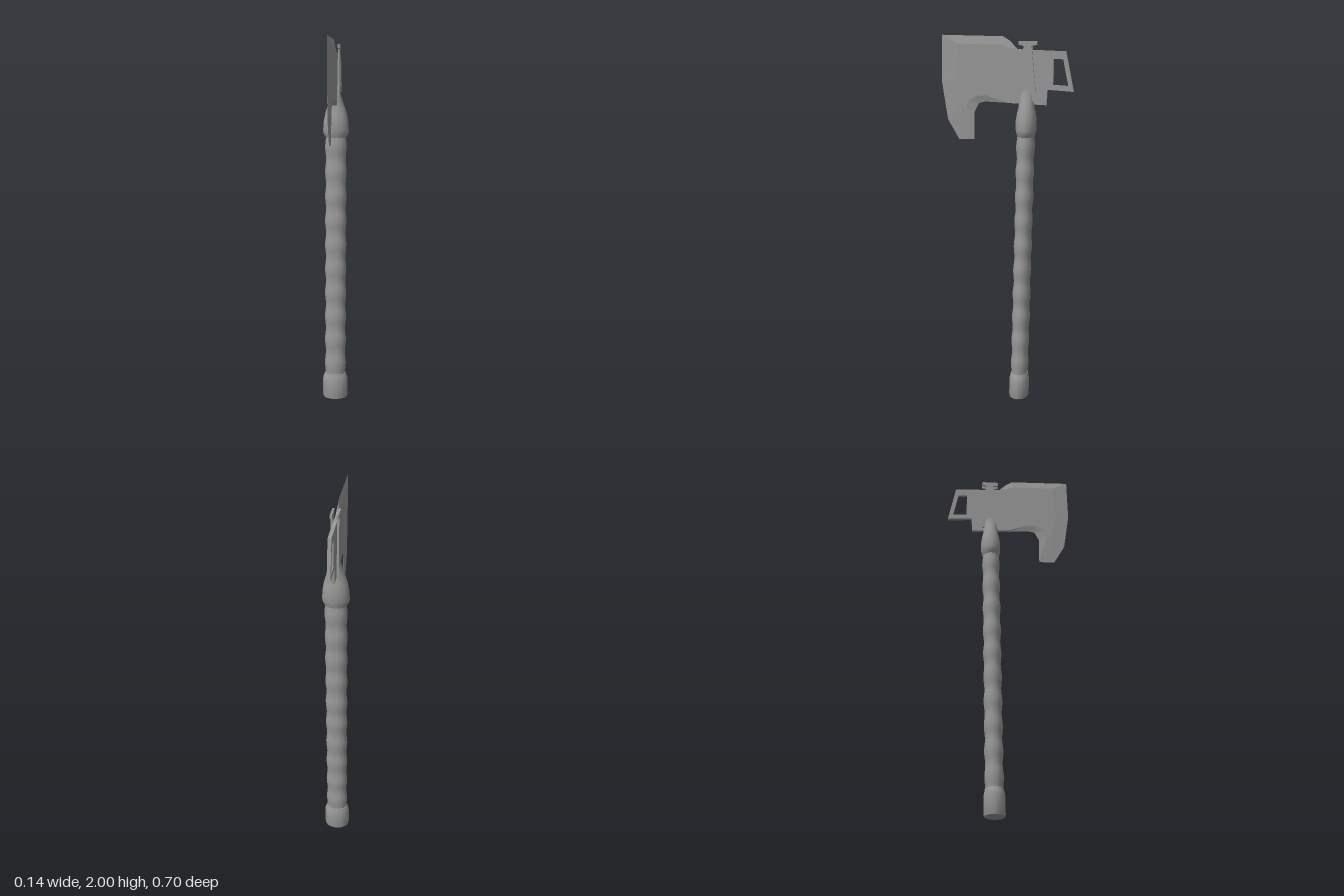
import * as THREE from 'three';
import { toCreasedNormals } from 'three/addons/utils/BufferGeometryUtils.js';

const steel = new THREE.MeshStandardMaterial({ color: 0x989898 });
const SIDES = 18;
const HALF = 0.009; // half thickness of the blade

// The haft leans slightly backward as it rises
const axisZ = (y) => -0.064 - 0.022 * y;

// Closed body through elliptical rings [y, radiusX, radiusZ]
function loft(rings) {
  const pos = [], idx = [], n = rings.length;
  for (const [y, rx, rz] of rings) {
    for (let j = 0; j < SIDES; j++) {
      const a = (j / SIDES) * Math.PI * 2;
      pos.push(rx * Math.cos(a), y, axisZ(y) + rz * Math.sin(a));
    }
  }
  for (const [y] of [rings[0], rings[n - 1]]) pos.push(0, y, axisZ(y));
  const bottom = n * SIDES, top = bottom + 1, last = (n - 1) * SIDES;
  for (let j = 0; j < SIDES; j++) {
    const j1 = (j + 1) % SIDES;
    for (let k = 0; k < n - 1; k++) {
      const a = k * SIDES + j, b = k * SIDES + j1;
      idx.push(a, a + SIDES, b + SIDES, a, b + SIDES, b);
    }
    idx.push(bottom, j, j1, top, last + j1, last + j);
  }
  const g = new THREE.BufferGeometry();
  g.setAttribute('position', new THREE.Float32BufferAttribute(pos, 3));
  g.setIndex(idx);
  return toCreasedNormals(g, 0.85);
}

// Plate cut from a [z, y] outline, spanning x from x0 to x1
function plate(outline, x0, x1, hole) {
  const shape = new THREE.Shape(outline.map(([z, y]) => new THREE.Vector2(z, y)));
  if (hole) shape.holes.push(new THREE.Path(hole.map(([z, y]) => new THREE.Vector2(z, y))));
  const g = new THREE.ExtrudeGeometry(shape, { depth: x1 - x0, bevelEnabled: false });
  return g.rotateY(-Math.PI / 2).translate(x1, 0, 0);
}

// Ground faces from the full-thickness inner line out to the sharp rim
function wedge(inner, rim) {
  const pos = [];
  const at = (x, [z, y]) => [x, y, z];
  for (const s of [1, -1]) {
    for (let i = 0; i < inner.length - 1; i++) {
      const i0 = at(s * HALF, inner[i]), i1 = at(s * HALF, inner[i + 1]);
      const r0 = at(0, rim[i]), r1 = at(0, rim[i + 1]);
      for (const [a, b, c] of [[i0, r0, r1], [i0, r1, i1]]) {
        pos.push(...a, ...(s > 0 ? b : c), ...(s > 0 ? c : b));
      }
    }
  }
  const g = new THREE.BufferGeometry();
  g.setAttribute('position', new THREE.Float32BufferAttribute(pos, 3));
  g.computeVertexNormals();
  return g;
}

export function createModel() {
  const model = new THREE.Group();
  model.name = 'axe';
  const add = (name, geometry) => {
    const mesh = new THREE.Mesh(geometry, steel);
    mesh.name = name;
    model.add(mesh);
  };

  // Pommel
  add('pommel', loft([
    [0, 0.067, 0.053], [0.008, 0.07, 0.055], [0.105, 0.07, 0.055],
    [0.12, 0.067, 0.052], [0.14, 0.058, 0.048],
  ]));

  // Gently rippled grip
  const grip = [], bulges = 10, steps = 6;
  for (let i = 0; i <= bulges * steps; i++) {
    const t = i / (bulges * steps);
    const r = 0.0028 * Math.cos((i / steps) * Math.PI * 2);
    grip.push([0.13 + 1.36 * t, 0.057 - r, 0.047 - r]);
  }
  add('grip', loft(grip));

  // Collar flattening towards the head
  add('collar', loft([
    [1.475, 0.056, 0.045], [1.492, 0.067, 0.05], [1.51, 0.071, 0.054], [1.56, 0.067, 0.055],
    [1.6, 0.06, 0.049], [1.63, 0.051, 0.042], [1.67, 0.037, 0.04],
    [1.72, 0.0215, 0.04], [1.76, 0.019, 0.033],
  ]));

  // Pair of cheek straps with T-shaped tops, one on each side of the blade
  const half = [[0.04, 1.66], [0.041, 1.73], [0.021, 1.945], [0.046, 1.95], [0.046, 1.97]];
  const mid = -0.106;
  const strap = [
    ...half.map(([d, y]) => [mid + d, y]),
    ...half.map(([d, y]) => [mid - d, y]).reverse(),
  ];
  add('leftStrap', plate(strap, 0.011, 0.021));
  add('rightStrap', plate(strap, -0.021, -0.011));

  // Blade plate with the slotted rear hook
  const inner = [
    [-0.05, 1.928], [0, 1.94], [0.03, 1.95], [0.265, 1.955], [0.28, 1.77], [0.262, 1.66],
    [0.25, 1.63], [0.225, 1.63], [0.21, 1.66], [0.17, 1.685], [0.12, 1.69], [0, 1.651],
  ];
  const hook = [[-0.205, 1.642], [-0.21, 1.722], [-0.347, 1.713], [-0.305, 1.918]];
  const slot = [[-0.24, 1.88], [-0.29, 1.878], [-0.318, 1.742], [-0.24, 1.747]];
  add('blade', plate([...inner, ...hook], -HALF, HALF, slot));

  // Bevels thinning to the edge, the top, and the beard
  const rim = [
    [-0.05, 1.928], [-0.01, 1.972], [0.025, 1.993], [0.35, 2.0], [0.355, 1.76], [0.325, 1.56],
    [0.265, 1.455], [0.18, 1.455], [0.18, 1.6], [0.155, 1.648], [0.12, 1.656], [0, 1.651],
  ];
  add('bladeBevel', wedge(inner, rim));

  return model;
}
